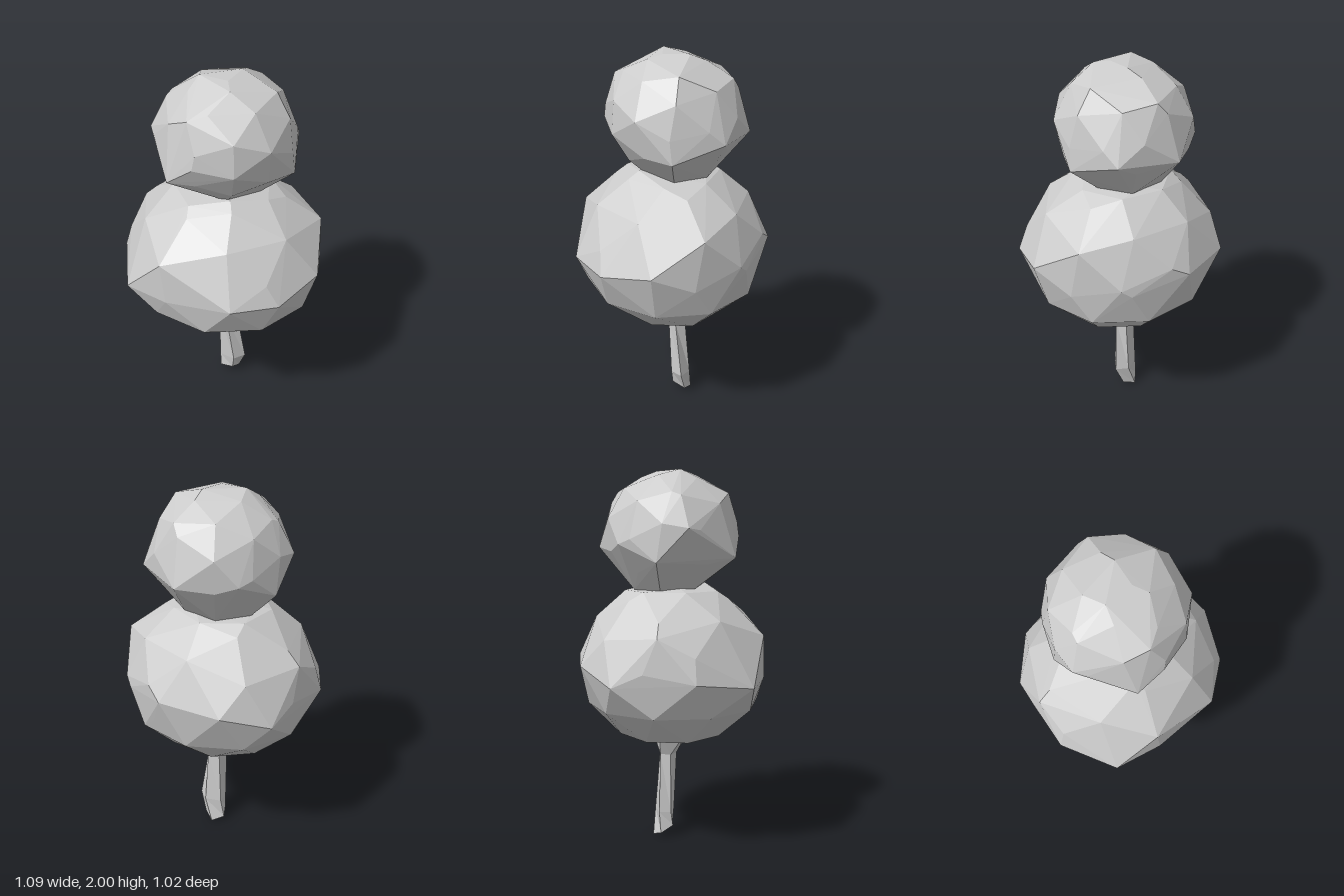
import * as THREE from 'three';
import { ConvexGeometry } from 'three/addons/geometries/ConvexGeometry.js';

// Ring of points on an ellipse filling the box x0..x1, z0..z1, with optional slope along z
function ring({ y, x, z, n, phase = 0, slope = 0 }) {
  const rx = (x[1] - x[0]) / 2, rz = (z[1] - z[0]) / 2;
  return Array.from({ length: n }, (_, i) => {
    const a = ((i + phase) / n) * Math.PI * 2;
    const dz = rz * Math.cos(a);
    return new THREE.Vector3(x[0] + rx + rx * Math.sin(a), y + slope * dz, z[0] + rz + dz);
  });
}

const points = (list) => list.map((p) => new THREE.Vector3(...p));

// Evenly spread points on an ellipsoid, turned a little so the facets fall irregularly
function ellipsoid(center, radii, turn) {
  const geo = new THREE.IcosahedronGeometry(1, 1).rotateX(turn).rotateY(turn * 2);
  geo.scale(...radii).translate(...center);
  const pos = geo.getAttribute('position');
  const unique = new Map();
  for (let i = 0; i < pos.count; i++) {
    const p = new THREE.Vector3().fromBufferAttribute(pos, i);
    unique.set(p.toArray().map((v) => Math.round(v * 1000)).join(), p);
  }
  return [...unique.values()];
}

function facets(pts) {
  const geo = new THREE.BufferGeometry().setFromPoints(pts);
  geo.computeVertexNormals();
  return geo;
}

// Joins rings of equal point count, bottom to top; the two ends are closed by single points
function loft(bottom, rings, top) {
  const out = [];
  const n = rings[0].length;
  for (let i = 0; i < n; i++) {
    const j = (i + 1) % n;
    out.push(bottom, rings[0][j], rings[0][i]);
    for (let k = 0; k < rings.length - 1; k++) {
      const lo = rings[k], hi = rings[k + 1];
      out.push(lo[i], lo[j], hi[i], lo[j], hi[j], hi[i]);
    }
    out.push(rings[rings.length - 1][i], rings[rings.length - 1][j], top);
  }
  return facets(out);
}

// Convex crown whose flat underside is pushed up into a hollow
function hollowHull(pts, lip, apex) {
  const pos = new ConvexGeometry([...pts, ...lip]).getAttribute('position');
  const out = [];
  for (let i = 0; i < pos.count; i += 3) {
    const t = [0, 1, 2].map((k) => new THREE.Vector3().fromBufferAttribute(pos, i + k));
    if (t.some((p) => p.y > 0.625)) out.push(...t);
  }
  lip.forEach((p, i) => out.push(p, apex, lip[(i + 1) % lip.length]));
  return facets(out);
}

export function createModel() {
  const group = new THREE.Group();
  const material = new THREE.MeshStandardMaterial({ color: 0xcccccc, flatShading: true, side: THREE.DoubleSide });
  const add = (name, geometry) => {
    const mesh = new THREE.Mesh(geometry, material);
    mesh.name = name;
    group.add(mesh);
  };

  // Wide lower crown: uneven belly, rounded shoulders, hollow underneath
  const belly = points([
    [-0.24, 1.0, -0.49], [0.09, 1.02, -0.515], [0.36, 0.96, -0.36], [0.49, 1.19, -0.13],
    [0.54, 1.02, 0.135], [0.4, 0.97, 0.38], [0.185, 0.98, 0.51], [-0.2, 1.15, 0.46],
    [-0.42, 0.91, 0.385], [-0.545, 0.95, 0.09], [-0.49, 1.17, -0.1], [-0.45, 0.92, -0.33],
  ]);
  const underBelly = ring({ y: 0.765, x: [-0.485, 0.485], z: [-0.465, 0.46], n: 10, phase: 0.1 });
  const shoulders = [
    ...ellipsoid([0, 1.0, 0], [0.525, 0.42, 0.505], 0.35).filter((p) => p.y > 0.75),
    ...ring({ y: 1.375, x: [-0.27, 0.25], z: [-0.26, 0.25], n: 7, phase: 0.5 }),
    ...points([[0.08, 1.41, 0.17]]),
  ];
  const lip = ring({ y: 0.605, x: [-0.32, 0.32], z: [-0.3, 0.27], n: 8, phase: 0.35 });
  add('lowerCrown', hollowHull([...belly, ...underBelly, ...shoulders], lip, new THREE.Vector3(0, 0.69, -0.03)));

  // Rounder upper crown, leaning slightly back
  add('upperCrown', new ConvexGeometry([
    ...ellipsoid([0, 1.69, -0.02], [0.358, 0.312, 0.358], 0.2),
    ...ring({ y: 1.38, x: [-0.21, 0.19], z: [-0.22, 0.14], n: 6, phase: 0.3 }),
    ...points([
      [0.05, 1.6, -0.4], [0.32, 1.62, -0.24], [0.365, 1.54, 0.02], [-0.06, 1.66, 0.34],
      [-0.2, 1.55, 0.31], [-0.37, 1.7, 0.06], [-0.35, 1.53, -0.1], [-0.24, 1.62, -0.29],
      [0.1, 1.89, -0.3], [0.25, 1.94, -0.02], [-0.1, 1.88, 0.28], [-0.28, 1.88, -0.02],
      [0.06, 1.98, 0.12], [-0.12, 2, 0.03], [0.06, 2, -0.09],
    ]),
  ]));

  // Thin crooked trunk with a slanted foot, flaring into the crown
  add('trunk', loft(
    new THREE.Vector3(0.01, 0.033, -0.055),
    [
      { y: 0.033, x: [-0.055, 0.07], z: [-0.115, 0.005], phase: 0.5, slope: 0.55 },
      { y: 0.14, x: [-0.05, 0.11], z: [-0.105, 0.005], phase: 0.25 },
      { y: 0.47, x: [-0.045, 0.07], z: [-0.085, 0.015] },
      { y: 0.6, x: [-0.11, 0.17], z: [-0.13, 0.11], phase: 0.25 },
    ].map((r) => ring({ ...r, n: 5 })),
    new THREE.Vector3(0.02, 0.72, 0),
  ));

  return group;
}
